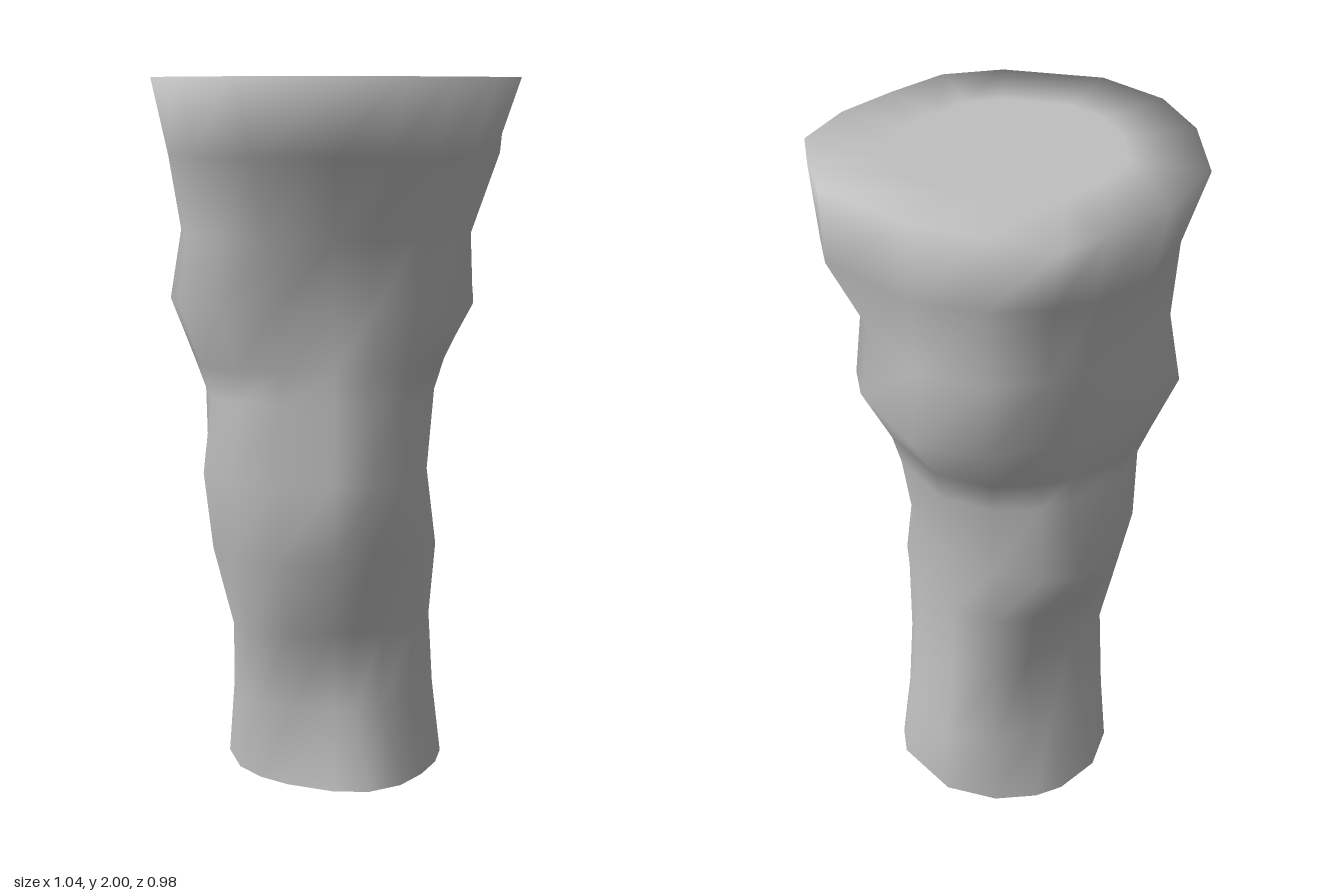
import * as THREE from 'three';

// Outline of the flared top rim, [x, z], running from +x towards +z
const RIM = [
  [0.49, 0.06], [0.41, 0.22], [0.32, 0.37], [0.17, 0.455], [-0.11, 0.49], [-0.3, 0.41],
  [-0.43, 0.26], [-0.525, 0.03], [-0.475, -0.185], [-0.37, -0.37], [-0.295, -0.485],
  [-0.1, -0.476], [0.1, -0.468], [0.375, -0.37], [0.45, -0.26], [0.52, -0.12],
];

// Trunk rings: height, then the radius every 45 degrees from +x towards +z
const RINGS = [
  [0, 0.3, 0.29, 0.24, 0.255, 0.315, 0.355, 0.37, 0.36],
  [0.22, 0.265, 0.19, 0.19, 0.265, 0.295, 0.28, 0.365, 0.335],
  [0.44, 0.275, 0.19, 0.19, 0.28, 0.27, 0.22, 0.325, 0.31],
  [0.67, 0.31, 0.285, 0.28, 0.345, 0.32, 0.31, 0.32, 0.3],
  [0.89, 0.28, 0.31, 0.245, 0.36, 0.37, 0.435, 0.34, 0.3],
  [1.11, 0.27, 0.3, 0.245, 0.325, 0.375, 0.375, 0.37, 0.335],
  [1.2, 0.305, 0.305, 0.245, 0.345, 0.41, 0.39, 0.39, 0.36],
  [1.37, 0.39, 0.31, 0.265, 0.4, 0.48, 0.445, 0.51, 0.445],
  [1.57, 0.39, 0.325, 0.32, 0.39, 0.445, 0.44, 0.475, 0.415],
  [1.79, 0.44, 0.41, 0.39, 0.45, 0.46, 0.475, 0.48, 0.52],
];

// Smooth closed interpolation of the eight radii at a given angle
function radiusAt(radii, angle) {
  const t = ((angle / (Math.PI / 4)) + 8) % 8;
  const i = Math.floor(t), f = t - i;
  const [a, b, c, d] = [-1, 0, 1, 2].map((k) => radii[(i + k + 8) % 8]);
  return b + 0.5 * f * (c - a + f * (2 * a - 5 * b + 4 * c - d + f * (3 * (b - c) + d - a)));
}

export function createModel() {
  const group = new THREE.Group();
  const grey = new THREE.MeshStandardMaterial({ color: 0xc0c0c0, side: THREE.DoubleSide });
  grey.name = 'plain grey';

  const positions = [], indices = [];
  const n = RIM.length;

  // Lumpy trunk, open at the bottom
  for (const [y, ...radii] of RINGS) {
    for (const [x, z] of RIM) {
      const angle = Math.atan2(z, x);
      const r = radiusAt(radii, angle);
      positions.push(r * Math.cos(angle), y, r * Math.sin(angle));
    }
  }
  // Rim, then an inner ring of the flat cap
  for (const scale of [1, 0.6]) {
    for (const [x, z] of RIM) positions.push(x * scale, 2, z * scale);
  }
  const rows = RINGS.length + 2;
  for (let i = 0; i < rows - 1; i++) {
    for (let j = 0; j < n; j++) {
      const k = (j + 1) % n;
      const a = i * n + j, b = i * n + k, c = a + n, d = b + n;
      indices.push(a, c, b, b, c, d);
    }
  }
  // Centre of the cap
  const centre = positions.length / 3;
  positions.push(0, 2, 0);
  for (let j = 0; j < n; j++) {
    const base = (rows - 1) * n;
    indices.push(base + j, centre, base + (j + 1) % n);
  }

  // Shared vertices keep the rim softly shaded
  const geometry = new THREE.BufferGeometry();
  geometry.setAttribute('position', new THREE.Float32BufferAttribute(positions, 3));
  geometry.setIndex(indices);
  geometry.computeVertexNormals();

  const trunk = new THREE.Mesh(geometry, grey);
  trunk.name = 'trunk';
  group.add(trunk);
  return group;
}
